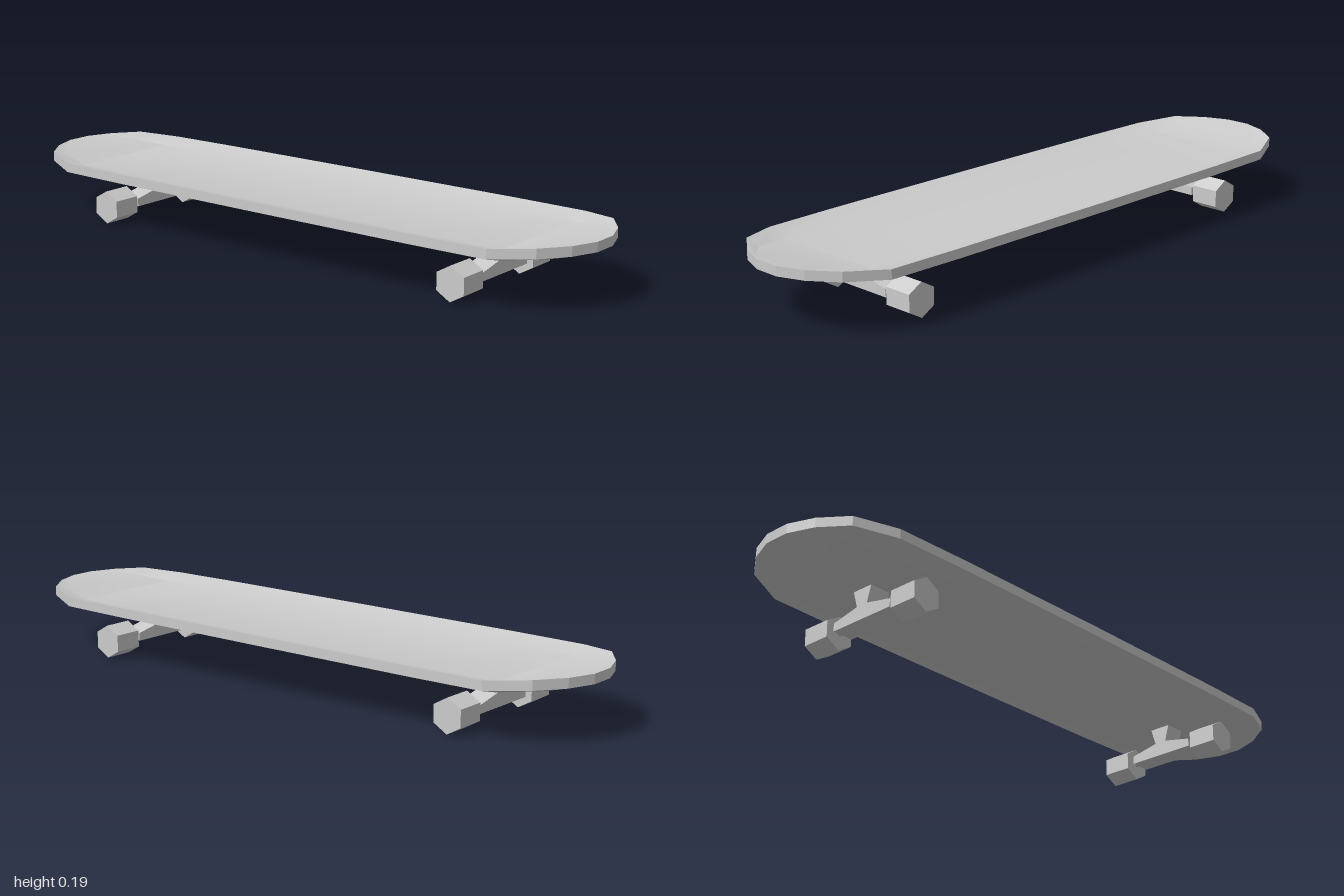
import * as THREE from 'three';
import { toCreasedNormals } from 'three/addons/utils/BufferGeometryUtils.js';

const material = new THREE.MeshStandardMaterial({ color: 0xcccccc });
const THICKNESS = 0.029;

function addMesh(parent, name, geometry, x = 0, y = 0, z = 0) {
  const mesh = new THREE.Mesh(geometry, material);
  mesh.name = name;
  mesh.position.set(x, y, z);
  parent.add(mesh);
  return mesh;
}

// Concave deck lofted through cross-sections along z
function deckGeometry() {
  // z, half width, half width of the flat middle, rim height, middle height
  const half = [
    [0, 0.263, 0.187, 0.153, 0.135],
    [0.55, 0.261, 0.187, 0.153, 0.135],
    [0.79, 0.255, 0.187, 0.153, 0.135],
    [0.91, 0.2, 0.146, 0.163, 0.151],
    [0.97, 0.12, 0.085, 0.163, 0.159],
    [1, 0.04, 0.02, 0.163, 0.163],
  ];
  const mirrored = half.slice(1).reverse().map(([z, ...rest]) => [-z, ...rest]);
  const stations = [...mirrored, ...half];
  const positions = [];
  const indices = [];
  for (const [z, w, i, rim, mid] of stations) {
    const bottom = [[-w, rim], [-i, mid], [i, mid], [w, rim]];
    const top = bottom.map(([x, y]) => [x, y + THICKNESS]);
    for (const [x, y] of [...top, ...bottom.reverse()]) positions.push(x, y, z);
  }
  const n = 8;
  for (let s = 0; s < stations.length - 1; s++) {
    for (let k = 0; k < n; k++) {
      const a = s * n + k;
      const b = s * n + (k + 1) % n;
      indices.push(a, a + n, b + n, a, b + n, b);
    }
  }
  // Nose and tail caps
  const last = (stations.length - 1) * n;
  for (let k = 1; k < n - 1; k++) {
    indices.push(0, k, k + 1, last, last + k + 1, last + k);
  }
  const geometry = new THREE.BufferGeometry();
  geometry.setAttribute('position', new THREE.Float32BufferAttribute(positions, 3));
  geometry.setIndex(indices);
  return toCreasedNormals(geometry, 0.265);
}

// Six-sided cylinder lying along x with a corner pointing up
function hexBar(radius, length) {
  const geometry = new THREE.CylinderGeometry(radius, radius, length, 6, 1, false, Math.PI / 2);
  geometry.rotateZ(Math.PI / 2);
  return toCreasedNormals(geometry, 0.3);
}

// Hanger with tapered arms and a flared stem up to the deck
function hangerGeometry() {
  const right = [[0.113, 0.04], [0.113, 0.065], [0.02, 0.084], [0.036, 0.138]];
  const left = right.map(([x, y]) => [-x, y]).reverse();
  const shape = new THREE.Shape([...right, ...left].map(([x, y]) => new THREE.Vector2(x, y)));
  const depth = 0.068;
  const geometry = new THREE.ExtrudeGeometry(shape, { depth, bevelEnabled: false });
  geometry.translate(0, 0, -depth / 2);
  return geometry;
}

export function createModel() {
  const board = new THREE.Group();
  board.name = 'skateboard';
  addMesh(board, 'deck', deckGeometry());

  const hanger = hangerGeometry();
  const axle = hexBar(0.01, 0.04);
  const wheel = hexBar(0.052, 0.092);
  for (const [end, z] of [['front', 0.655], ['back', -0.655]]) {
    const truck = new THREE.Group();
    truck.name = `${end}Truck`;
    truck.position.z = z;
    board.add(truck);
    addMesh(truck, 'hanger', hanger);
    for (const [side, s] of [['left', 1], ['right', -1]]) {
      addMesh(truck, `${side}Axle`, axle, s * 0.12, 0.052);
      addMesh(truck, `${side}Wheel`, wheel, s * 0.174, 0.052);
    }
  }
  return board;
}
